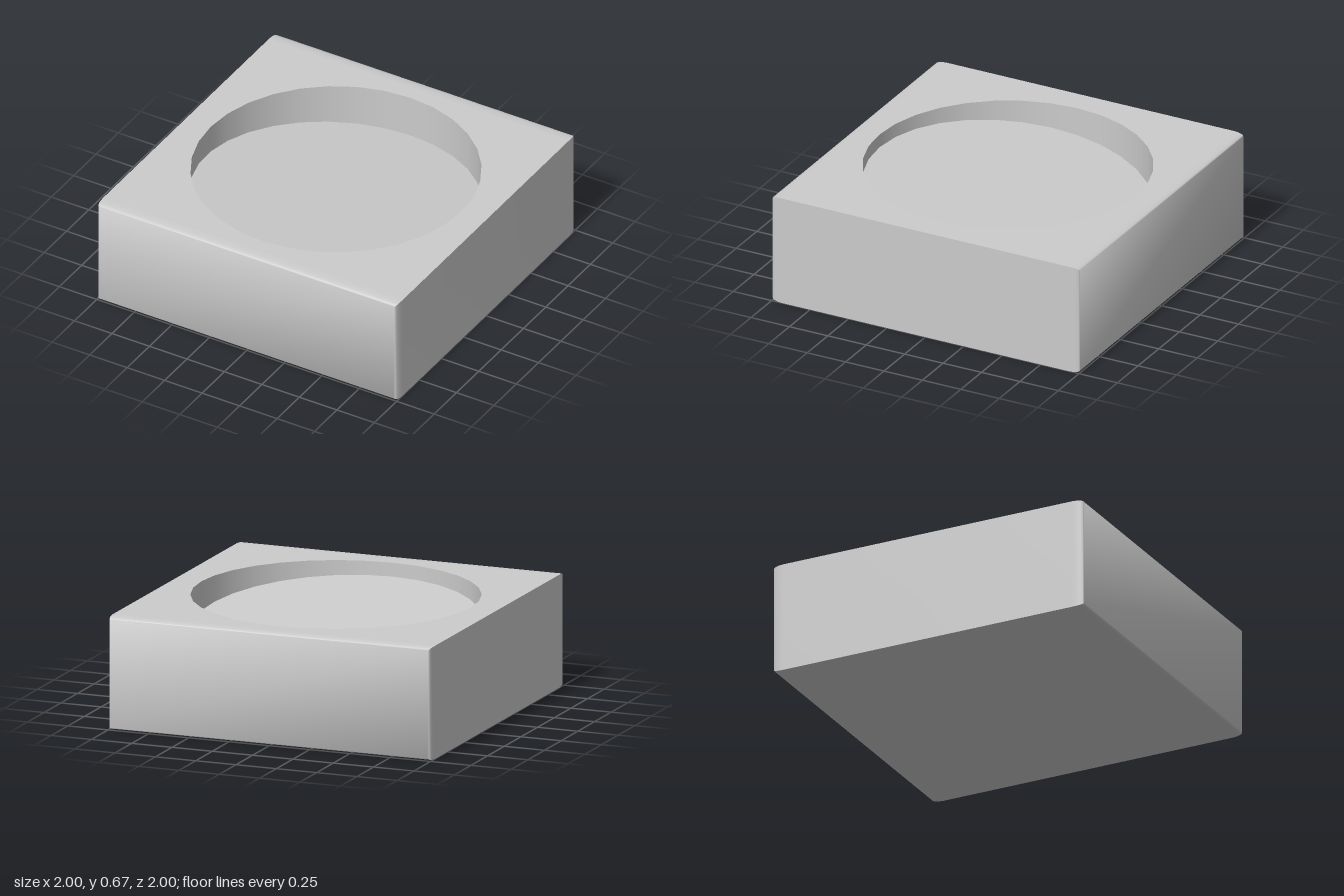
import * as THREE from 'three';
import { toCreasedNormals } from 'three/addons/utils/BufferGeometryUtils.js';

const H = 0.667;       // block height
const R = 0.835;       // recess radius
const SIDES = 32;
const BEVEL_Z = 0.07;  // edge rounding along z
const BEVEL_IN = 0.013; // edge rounding across x and y
const STEPS = 4;

// Height of the sloping recess floor
const floorY = z => H - 0.172 + 0.108 * z;

const material = new THREE.MeshStandardMaterial({ color: 0xcccccc });

function add(group, name, geometry) {
  const mesh = new THREE.Mesh(geometry, material);
  mesh.name = name;
  group.add(mesh);
}

// Shell lofted along z, with softened front and back edges and an open top
function shellGeometry() {
  const stations = [];
  for (let i = 0; i <= STEPS; i++) {
    const a = (i / STEPS) * Math.PI / 2;
    stations.push([1 - BEVEL_Z * (1 - Math.cos(a)), BEVEL_IN * (1 - Math.sin(a))]);
  }
  const all = [
    ...stations.map(([z, inset]) => [-z, inset]),
    ...stations.slice().reverse(),
  ];
  const loops = all.map(([z, i]) => [
    [-1 + i, i, z], [1 - i, i, z], [1 - i, H - i, z], [-1 + i, H - i, z],
  ]);
  const pos = [];
  const quad = (a, b, c, d) => pos.push(...a, ...b, ...c, ...a, ...c, ...d);

  for (let s = 0; s < loops.length - 1; s++) {
    for (let k = 0; k < 4; k++) {
      if (s === STEPS && k === 2) continue; // top is a separate pierced face
      const n = (k + 1) % 4;
      quad(loops[s][k], loops[s][n], loops[s + 1][n], loops[s + 1][k]);
    }
  }
  quad(...loops[loops.length - 1]);
  quad(...loops[0].slice().reverse());

  const geometry = new THREE.BufferGeometry();
  geometry.setAttribute('position', new THREE.Float32BufferAttribute(pos, 3));
  return toCreasedNormals(geometry, 1.0);
}

// Flat top pierced by the round recess
function topGeometry() {
  const d = 1 - BEVEL_Z;
  const shape = new THREE.Shape([[-1, -d], [1, -d], [1, d], [-1, d]].map(p => new THREE.Vector2(...p)));
  const rim = [];
  for (let i = 0; i < SIDES; i++) {
    const a = -(i / SIDES) * Math.PI * 2;
    rim.push(new THREE.Vector2(R * Math.cos(a), R * Math.sin(a)));
  }
  shape.holes.push(new THREE.Path(rim));
  return new THREE.ShapeGeometry(shape).rotateX(-Math.PI / 2).translate(0, H, 0);
}

// Inward-facing wall whose lower edge follows the sloping floor
function wallGeometry() {
  const profile = [new THREE.Vector2(R, H), new THREE.Vector2(R, 0)];
  const geometry = new THREE.LatheGeometry(profile, SIDES);
  const p = geometry.attributes.position;
  for (let i = 0; i < p.count; i++) {
    if (p.getY(i) < H / 2) p.setY(i, floorY(p.getZ(i)));
  }
  return geometry;
}

function floorGeometry() {
  const geometry = new THREE.CircleGeometry(R, SIDES).rotateX(-Math.PI / 2);
  const p = geometry.attributes.position;
  for (let i = 0; i < p.count; i++) p.setY(i, floorY(p.getZ(i)));
  geometry.computeVertexNormals();
  return geometry;
}

export function createModel() {
  const group = new THREE.Group();
  group.name = 'recessedBlock';
  add(group, 'blockShell', shellGeometry());
  add(group, 'blockTop', topGeometry());
  add(group, 'recessWall', wallGeometry());
  add(group, 'recessFloor', floorGeometry());
  return group;
}
